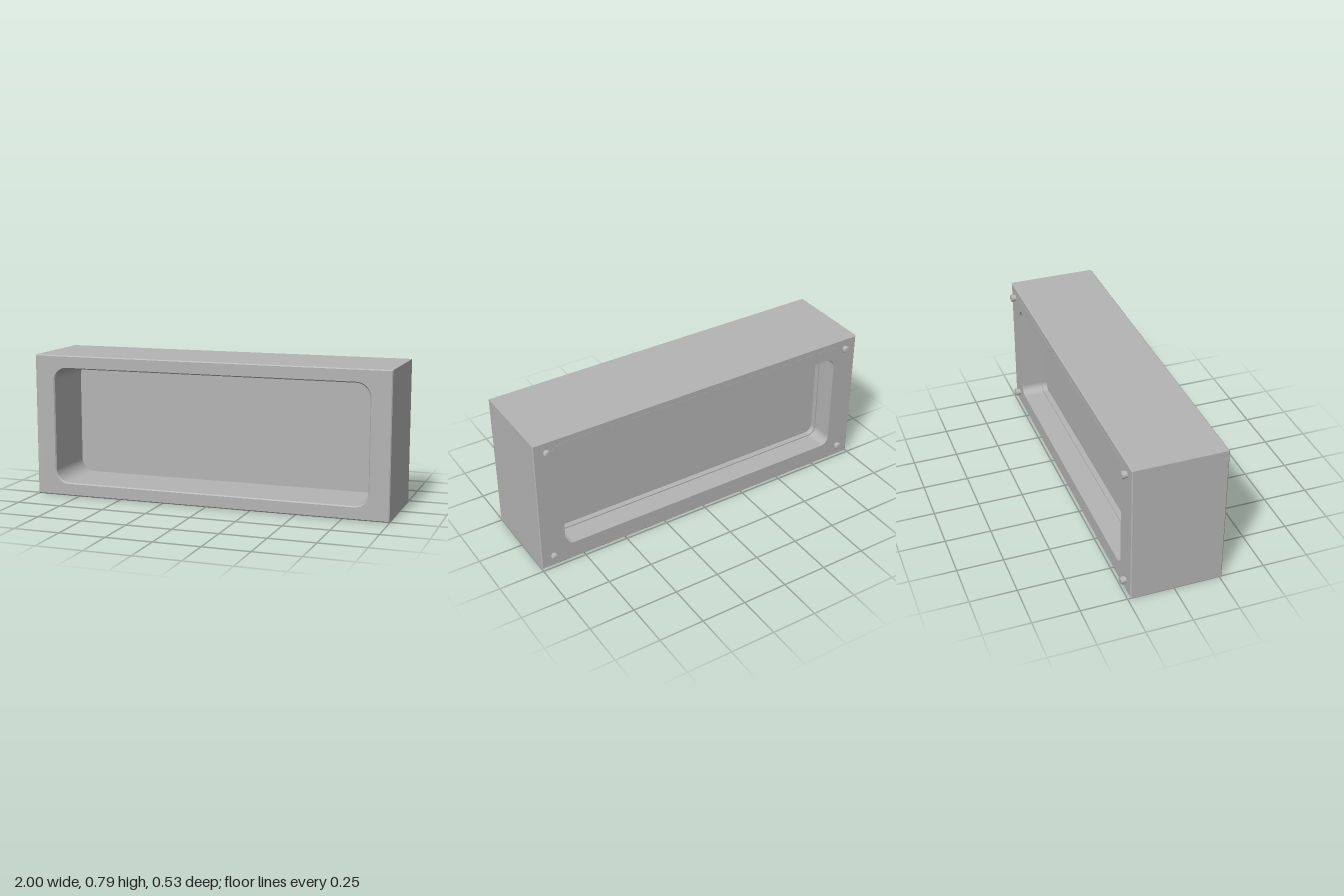
import * as THREE from 'three';

const MID = 0.3925; // height of the frame's centre
const SEG = 12;     // steps in each rounded corner

// Rounded rectangle outline (half width w, half height h, corner radius r) at depth z
function ring([w, h, r, z]) {
  const points = [];
  [[1, 1], [-1, 1], [-1, -1], [1, -1]].forEach(([sx, sy], q) => {
    for (let i = 0; i <= SEG; i++) {
      const a = (q + i / SEG) * Math.PI / 2;
      points.push(new THREE.Vector3(
        sx * (w - r) + r * Math.cos(a), MID + sy * (h - r) + r * Math.sin(a), z));
    }
  });
  return points;
}

// Joins successive outlines with crisp faces
function loft(profile) {
  const rings = profile.map(ring);
  const out = [];
  const tri = (a, b, c) => {
    const t = new THREE.Triangle(a, b, c);
    if (t.getArea() > 1e-9) out.push(...a.toArray(), ...b.toArray(), ...c.toArray());
  };
  for (let k = 0; k < rings.length - 1; k++) {
    const a = rings[k], b = rings[k + 1], n = a.length;
    for (let i = 0; i < n; i++) {
      const j = (i + 1) % n;
      tri(a[i], b[i], b[j]);
      tri(a[i], b[j], a[j]);
    }
  }
  const geometry = new THREE.BufferGeometry();
  geometry.setAttribute('position', new THREE.Float32BufferAttribute(out, 3));
  geometry.computeVertexNormals();
  return geometry;
}

export function createModel() {
  const group = new THREE.Group();
  const grey = new THREE.MeshStandardMaterial({ color: 0xb4b4b4 });
  grey.name = 'plain grey';

  const add = (name, geometry, parent = group) => {
    const mesh = new THREE.Mesh(geometry, grey);
    mesh.name = name;
    parent.add(mesh);
    return mesh;
  };

  // Housing: front cavity, bevelled outer shell, rear recess and the wall between them
  add('housing', loft([
    [0, 0, 0, -0.065],
    [0.887, 0.32, 0.075, -0.065],
    [0.887, 0.32, 0.075, 0.258],
    [0.893, 0.326, 0.081, 0.265],
    [0.995, 0.3875, 0, 0.265],
    [1, 0.3925, 0, 0.26],
    [1, 0.3925, 0, -0.23],
    [0.995, 0.3875, 0, -0.235],
    [0.857, 0.29, 0.05, -0.235],
    [0.857, 0.29, 0.05, -0.115],
    [0.85, 0.283, 0.043, -0.115],
    [0.85, 0.283, 0.043, -0.085],
    [0, 0, 0, -0.085],
  ]));

  // Very thin raised flange around the rear recess
  add('rearFlange', loft([
    [0.915, 0.358, 0.08, -0.234],
    [0.915, 0.358, 0.08, -0.2358],
    [0.857, 0.29, 0.05, -0.2358],
    [0.857, 0.29, 0.05, -0.234],
  ]));

  // Four collared studs at the rear corners
  for (const x of [-0.927, 0.927]) {
    for (const y of [0.066, 0.723]) {
      const stud = new THREE.Group();
      stud.name = 'stud';
      stud.position.set(x, y, -0.234);
      stud.rotation.x = -Math.PI / 2;
      const shaft = add('studShaft', new THREE.CylinderGeometry(0.018, 0.018, 0.03, 24), stud);
      shaft.position.y = 0.015;
      const collar = add('studCollar', new THREE.CylinderGeometry(0.021, 0.021, 0.013, 24), stud);
      collar.position.y = 0.02;
      group.add(stud);
    }
  }

  return group;
}
